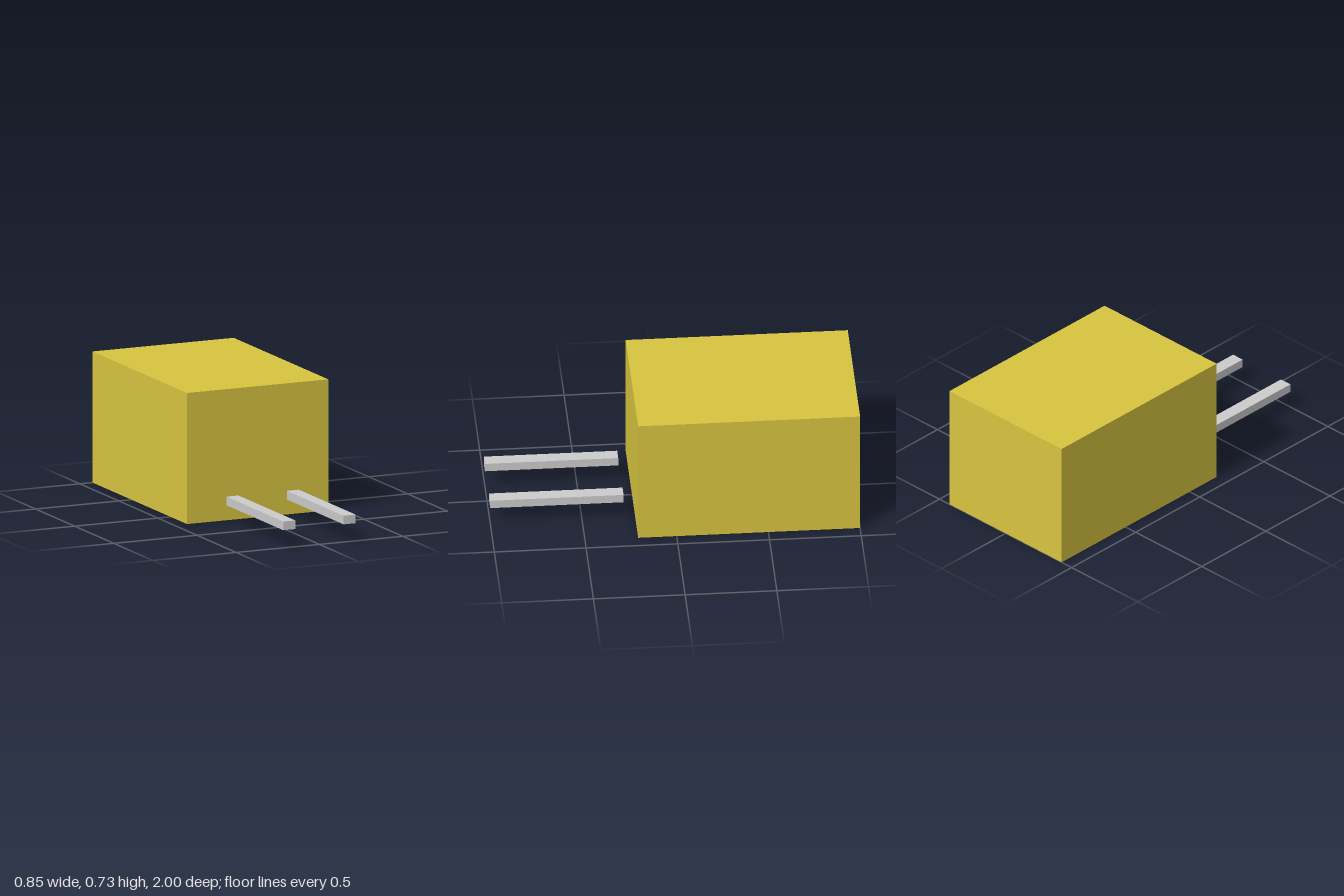
import * as THREE from 'three';

const yellow = new THREE.MeshStandardMaterial({ color: 0xd8c440 });
const grey = new THREE.MeshStandardMaterial({ color: 0xcccccc });

// Box spanning the two given corners
function block(name, material, [x0, y0, z0], [x1, y1, z1]) {
  const mesh = new THREE.Mesh(new THREE.BoxGeometry(x1 - x0, y1 - y0, z1 - z0), material);
  mesh.position.set((x0 + x1) / 2, (y0 + y1) / 2, (z0 + z1) / 2);
  mesh.name = name;
  return mesh;
}

export function createModel() {
  const model = new THREE.Group();
  model.name = 'boxWithPins';

  // Main housing
  model.add(block('body', yellow, [-0.424, 0, -1], [0.424, 0.728, 0.21]));

  // Pair of pins, floating just ahead of the housing
  for (const side of [-1, 1]) {
    const x = side * 0.181;
    model.add(block(side > 0 ? 'leftPin' : 'rightPin', grey,
      [x - 0.036, 0.098, 0.273], [x + 0.036, 0.146, 1]));
  }
  return model;
}
